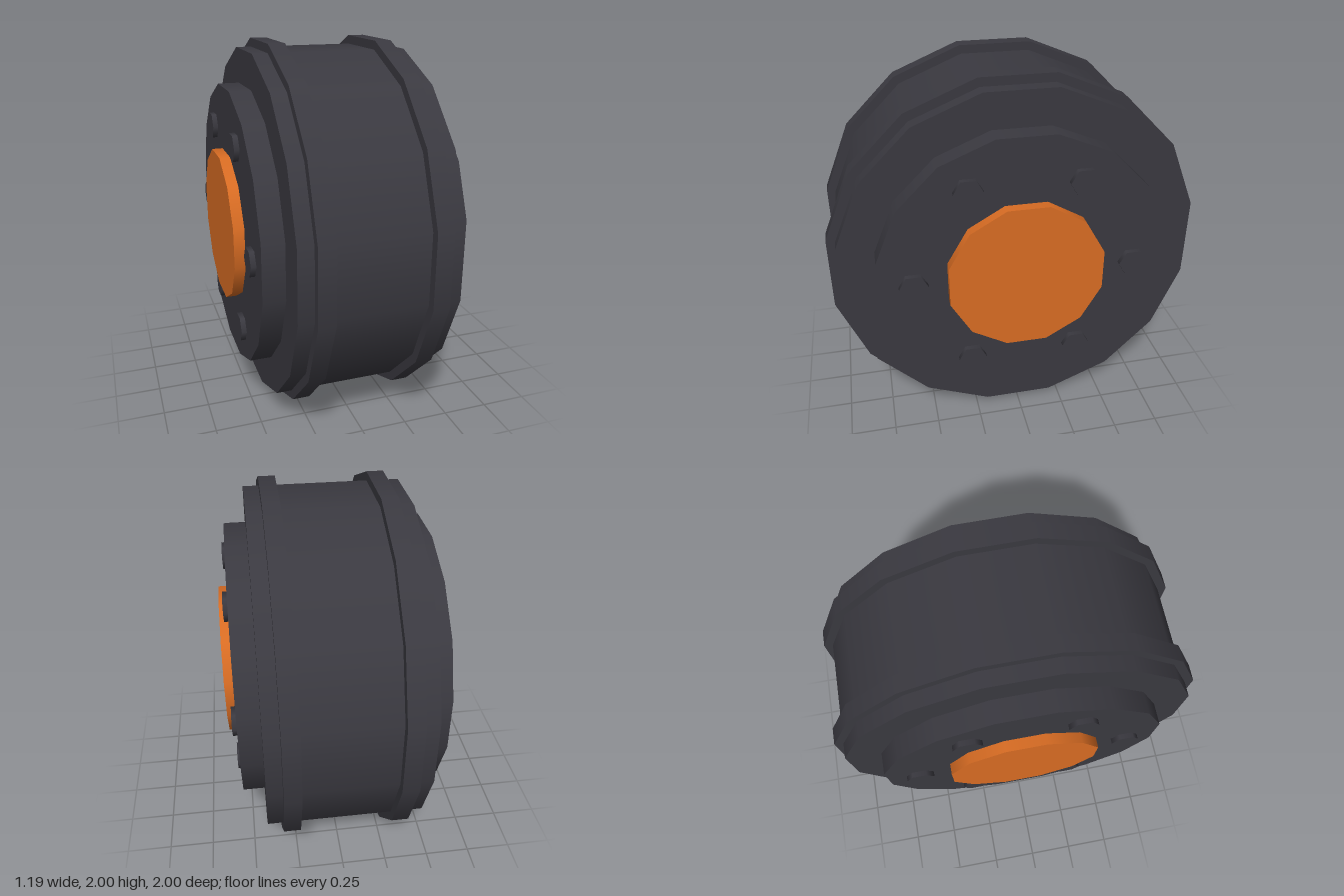
import * as THREE from 'three';

export function createModel() {
  const wheel = new THREE.Group();
  wheel.name = 'wheel';

  const rubber = new THREE.MeshStandardMaterial({ color: 0x3a3940 });
  rubber.name = 'charcoal';
  const orange = new THREE.MeshStandardMaterial({ color: 0xd86c23 });
  orange.name = 'orange';

  // Solid disc along x; flat is the distance from the axis to a facet
  function disc(name, flat, x0, x1, sides, material, y = 1, z = 0, turn = Math.PI / sides) {
    const r = flat / Math.cos(Math.PI / sides);
    const geo = new THREE.CylinderGeometry(r, r, x1 - x0, sides, 1, false, turn);
    geo.rotateZ(-Math.PI / 2);
    const mesh = new THREE.Mesh(geo, material);
    mesh.name = name;
    mesh.position.set((x0 + x1) / 2, y, z);
    wheel.add(mesh);
  }

  // Body
  disc('barrel', 0.953, -0.418, 0.418, 16, rubber);
  disc('sidePlate', 0.763, -0.535, 0.535, 16, rubber);
  disc('hub', 0.408, -0.593, 0.593, 12, orange);

  // Raised bands and bolts on each side
  for (const s of [-1, 1]) {
    const side = s > 0 ? 'left' : 'right';
    const span = (a, b) => (s > 0 ? [a, b] : [-b, -a]);
    disc(side + 'Band', 1, ...span(0.246, 0.336), 16, rubber);
    for (let i = 0; i < 6; i++) {
      const a = (i * Math.PI) / 3;
      disc(side + 'Bolt' + (i + 1), 0.066, ...span(0.5, 0.563), 6, rubber,
        1 + 0.585 * Math.sin(a), 0.585 * Math.cos(a), 0);
    }
  }
  return wheel;
}
